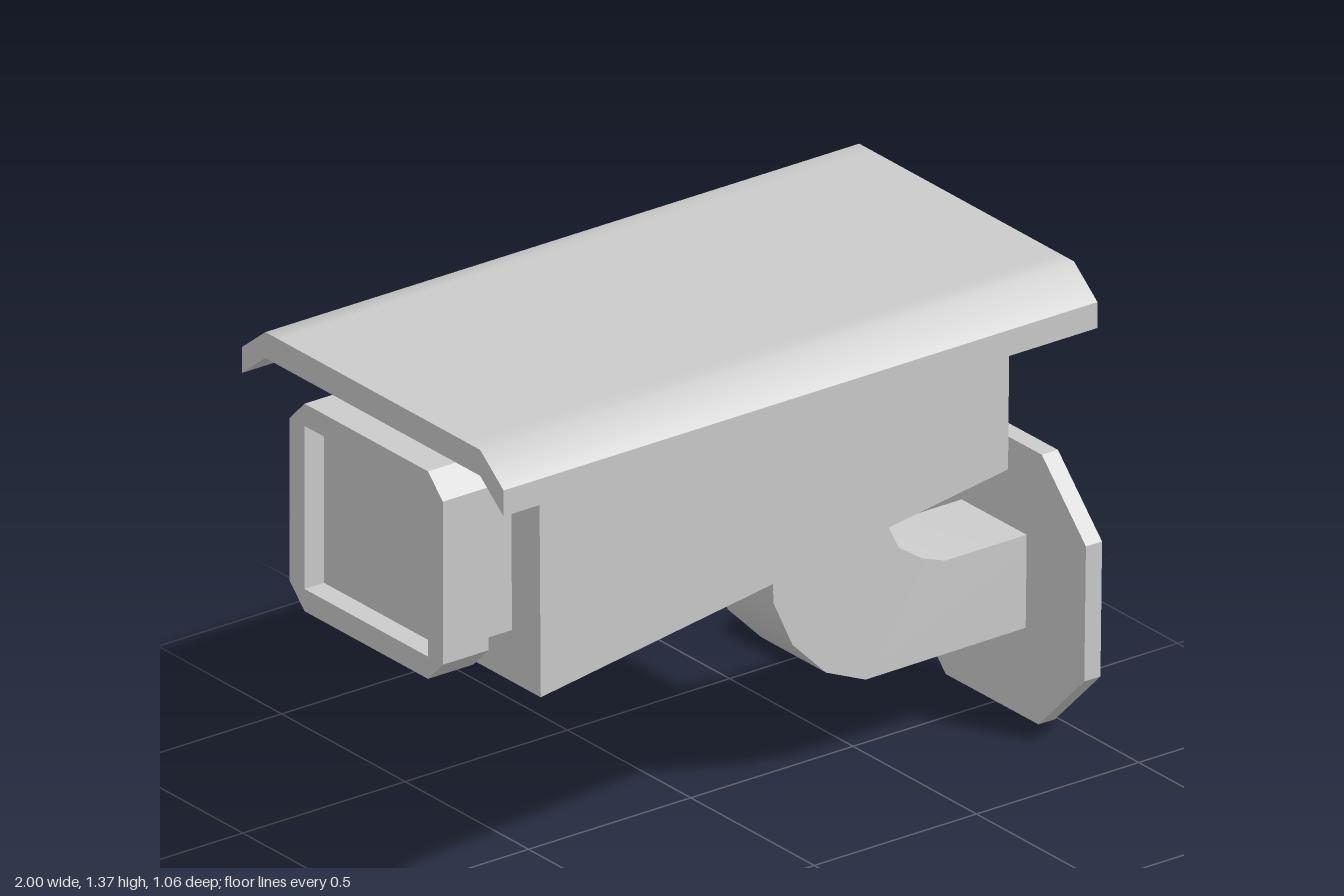
import * as THREE from 'three';
import { toCreasedNormals } from 'three/addons/utils/BufferGeometryUtils.js';

const material = new THREE.MeshStandardMaterial({ color: 0xcccccc });

const shapeOf = (points) => new THREE.Shape(points.map(([a, b]) => new THREE.Vector2(a, b)));

// Rectangle with cut corners, centred on the origin
function cutRect(w, h, cut) {
  const a = w / 2, b = h / 2;
  return shapeOf([
    [a - cut, -b], [a, -b + cut], [a, b - cut], [a - cut, b],
    [-a + cut, b], [-a, b - cut], [-a, -b + cut], [-a + cut, -b],
  ]);
}

const extrude = (shape, depth) => new THREE.ExtrudeGeometry(shape, { depth, bevelEnabled: false });

// Extrude a (-z, y) outline along x from x0 to x1
const alongX = (shape, x0, x1) => extrude(shape, x1 - x0).rotateY(Math.PI / 2).translate(x0, 0, 0);

// Extrude an (x, y) outline symmetrically across z
const acrossZ = (shape, width) => extrude(shape, width).translate(0, 0, -width / 2);

export function createModel() {
  const group = new THREE.Group();
  const add = (name, geometry, parent = group) => {
    const mesh = new THREE.Mesh(geometry, material);
    mesh.name = name;
    parent.add(mesh);
    return mesh;
  };

  // Sun hood: bent sheet with drooping sides and softly shaded upper bends
  const half = [[0.435, 1.3], [0.53, 1.225], [0.53, 1.295], [0.435, 1.37], [0.38, 1.37]];
  const hood = shapeOf([...half, ...half.map(([z, y]) => [-z, y]).reverse()]);
  add('sunHood', toCreasedNormals(alongX(hood, -0.98, 0.85), 0.72));

  // Body with sloping underside
  add('body', acrossZ(shapeOf([[-0.74, 0.61], [0.7, 0.825], [0.705, 1.3], [-0.745, 1.3]]), 0.73));

  // Lens housing: neck, solid back and recessed front rim
  const lens = new THREE.Group();
  lens.name = 'lensHousing';
  lens.position.y = 0.97;
  group.add(lens);
  add('lensNeck', new THREE.BoxGeometry(0.13, 0.44, 0.5).translate(-0.805, 0, 0), lens);
  add('lensBack', alongX(cutRect(0.62, 0.56, 0.06), -0.94, -0.86), lens);
  const rim = cutRect(0.62, 0.56, 0.06);
  rim.holes.push(cutRect(0.5, 0.44, 0));
  add('lensRim', alongX(rim, -1, -0.94), lens);

  // Curved bracket arm, drifting slightly towards -z at the wall end
  const arm = acrossZ(shapeOf([
    [0.15, 0.76], [0.155, 0.53], [0.215, 0.4], [0.32, 0.295], [0.445, 0.24], [0.96, 0.24],
    [0.96, 0.49], [0.695, 0.49], [0.625, 0.515], [0.55, 0.565], [0.515, 0.635], [0.52, 0.815],
  ]), 0.262);
  const p = arm.attributes.position;
  for (let i = 0; i < p.count; i++) {
    p.setZ(i, p.getZ(i) - 0.013 * THREE.MathUtils.clamp((p.getX(i) - 0.15) / 0.5, 0, 1));
  }
  add('bracketArm', toCreasedNormals(arm, 0.72));

  // Octagonal wall plate, tilted a little
  const plate = add('wallPlate', alongX(cutRect(0.735, 0.725, 0.181), -0.025, 0.025));
  plate.position.set(0.968, 0.3627, -0.0125);
  plate.rotation.set(0, 0.005, -0.014);

  return group;
}
